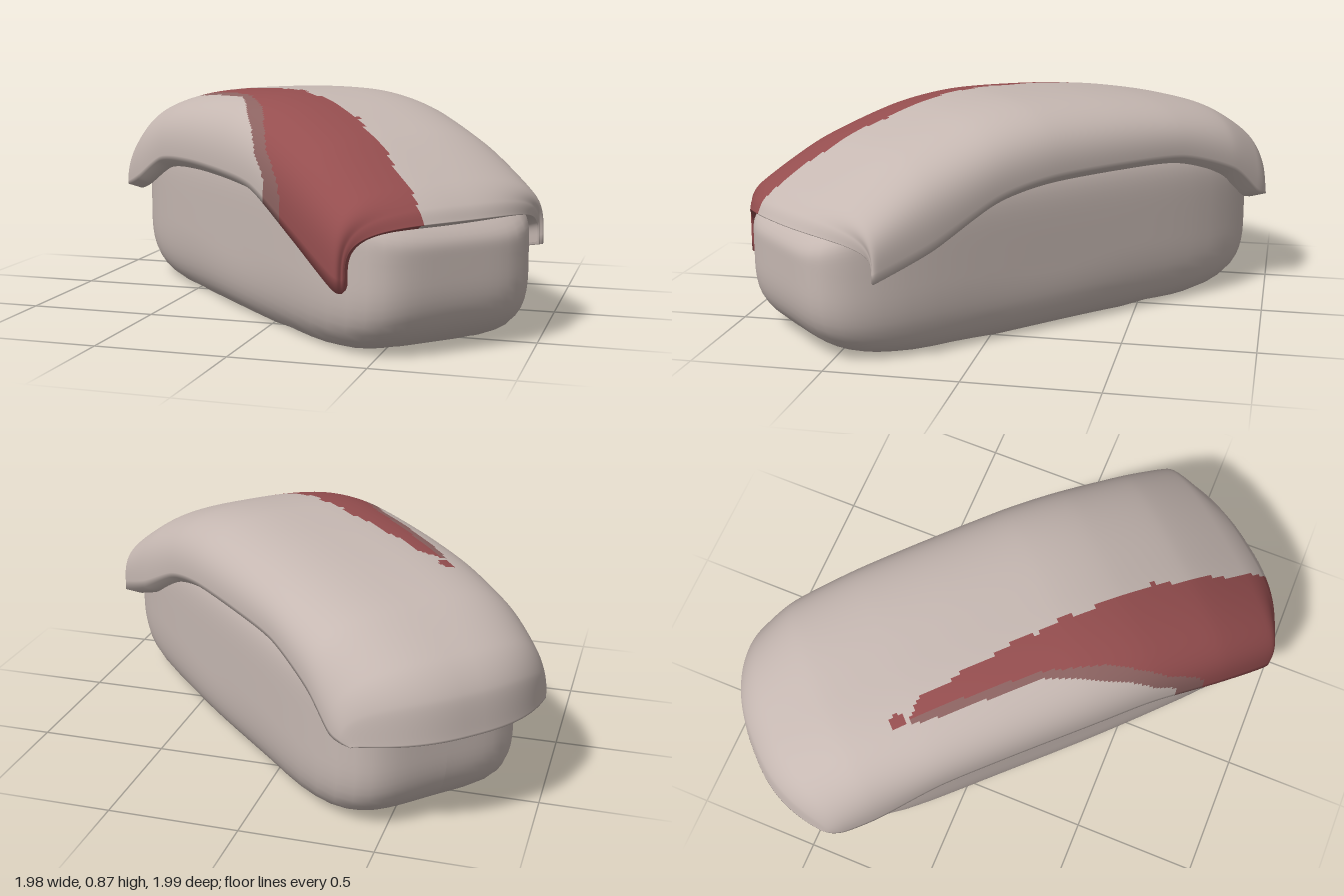
import * as THREE from 'three';

// Local frame: x runs along the length, z across; the whole thing is turned 45 degrees.

// Draped topping stations: [length position, crown height, half width]
const CROWN = [
  [-1.13, 0.40, 0.41], [-1.105, 0.55, 0.435], [-1.02, 0.655, 0.45], [-0.8, 0.77, 0.46],
  [-0.5, 0.83, 0.46], [-0.2, 0.86, 0.465], [0.15, 0.87, 0.47], [0.4, 0.835, 0.47],
  [0.7, 0.735, 0.475], [0.95, 0.595, 0.465], [1.04, 0.525, 0.44], [1.07, 0.475, 0.43],
];
// Hem at the same stations: [+z edge height, -z edge height, shift of the edges along x]
const HEM = [
  [0.39, 0.39, 0.14], [0.39, 0.40, 0.15], [0.39, 0.42, 0.12], [0.43, 0.53, 0.04],
  [0.54, 0.61, 0], [0.565, 0.62, 0], [0.56, 0.61, 0], [0.53, 0.56, 0],
  [0.40, 0.42, 0], [0.27, 0.34, -0.02], [0.25, 0.33, -0.09], [0.27, 0.34, -0.12],
];
const curve = (rows) => new THREE.CatmullRomCurve3(
  rows.map((r) => new THREE.Vector3(...r)), false, 'catmullrom', 0.4);

// Piecewise linear lookup
function lookup(table, x) {
  for (let i = 1; i < table.length; i++) {
    const [x0, y0] = table[i - 1], [x1, y1] = table[i];
    if (x <= x1) return y0 + (y1 - y0) * Math.max(0, (x - x0) / (x1 - x0));
  }
  return table[table.length - 1][1];
}

// Stripe limits across the width, by length position
const STRIPE_TOP = [[-0.52, 0.24], [-0.45, 0.19], [-0.11, 0.14], [0.2, 0.12], [0.55, 0.1], [1.0, 0.14]];
const STRIPE_LOW = [[-0.52, 0.25], [-0.4, 0.25], [0, 0.275], [0.23, 0.335], [0.47, 0.435], [0.62, 0.46], [0.68, 0.6]];
const BORDER_LOW = [[-0.52, 0.27], [-0.4, 0.285], [0, 0.305], [0.19, 0.375], [0.41, 0.453], [0.5, 0.462], [0.54, 0.6]];

// 0 = plain, 1 = stripe, 2 = soft border of the stripe
function paint(u, v) {
  if (u < -0.52) return Math.hypot(u + 0.57, (v - 0.235) * 1.3) < 0.035 ? 1 : 0;
  const wobble = 0.006 * Math.sin(u * 31);
  if (v < lookup(STRIPE_TOP, u) + wobble || v > lookup(BORDER_LOW, u)) return 0;
  return v > lookup(STRIPE_LOW, u) ? 2 : 1;
}

function toppingGeometry() {
  const N = 180, M = 120, ring = 2 * M + 2;
  const crown = curve(CROWN), hem = curve(HEM);
  const pos = [];
  for (let i = 0; i <= N; i++) {
    const c = crown.getPoint(i / N), h = hem.getPoint(i / N);
    const front = Math.max(0, c.x) ** 2;
    const outer = [];
    for (let j = 0; j <= M; j++) {
      const a = (Math.PI * j) / M, co = Math.cos(a), si = Math.max(0, Math.sin(a));
      const side = Math.sign(co) * Math.abs(co) ** 0.64;
      const edge = THREE.MathUtils.lerp(h.y, h.x, (side + 1) / 2);
      // the front end is slightly skewed and squarer in section
      outer.push([c.x + h.z * Math.abs(side) ** 2.5 + 0.035 * front * side,
        edge + (c.y - edge) * si ** (0.75 - 0.25 * front),
        c.z * side - 0.025 * front]);
    }
    // outer skin across, then the inner skin back again
    outer.forEach((p) => pos.push(...p));
    for (let j = M; j >= 0; j--) {
      const [x, y, z] = outer[j];
      pos.push(x * 0.95, 0.2 + (y - 0.2) * 0.92, z * 0.9);
    }
  }
  const lists = [[], [], []];
  const quad = (a, b, c, d, inner) => {
    const mid = (k) => (pos[a * 3 + k] + pos[b * 3 + k] + pos[c * 3 + k] + pos[d * 3 + k]) / 4;
    lists[inner ? 0 : paint(mid(0), mid(2))].push(a, b, c, a, c, d);
  };
  for (let i = 0; i < N; i++) {
    for (let j = 0; j < ring; j++) {
      const k = (j + 1) % ring, a = i * ring, b = a + ring;
      quad(a + j, b + j, b + k, a + k, j > M && j < ring - 1);
    }
  }
  // rims at both ends
  for (let j = 0; j < M; j++) {
    const e = N * ring, p = ring - 1 - j, q = p - 1;
    quad(e + j, e + p, e + q, e + j + 1, false);
    quad(j, j + 1, q, p, false);
  }
  const g = new THREE.BufferGeometry();
  g.setAttribute('position', new THREE.Float32BufferAttribute(pos, 3));
  g.setIndex(lists.flat());
  let start = 0;
  lists.forEach((l, m) => { g.addGroup(start, l.length, m); start += l.length; });
  g.computeVertexNormals();
  return g;
}

// Soft block: a sphere pushed out to a rounded box, sloping down in front, drawn in at the foot
function blockGeometry() {
  const g = new THREE.SphereGeometry(1, 72, 48);
  const p = g.attributes.position, v = new THREE.Vector3();
  for (let i = 0; i < p.count; i++) {
    v.fromBufferAttribute(p, i);
    const n = (Math.abs(v.x) ** 5 + Math.abs(v.y) ** 5 + Math.abs(v.z) ** 5) ** 0.2;
    v.divideScalar(n);
    const foot = Math.max(0, -v.y - 0.2) / 0.8;
    const taper = 1 - 0.06 * foot * foot;
    const lump = 1 + 0.012 * foot * Math.sin(v.x * 7 + 1);
    const height = v.y > 0 ? 0.36 * (1 - 0.12 * v.x * v.x - 0.5 * Math.max(0, v.x) ** 4) : 0.375;
    p.setXYZ(i,
      0.04 + 1.03 * v.x * taper,
      Math.max(0.004, 0.34 + v.y * height),
      -0.015 + 0.43 * v.z * taper * lump);
  }
  g.computeVertexNormals();
  return g;
}

export function createModel() {
  const mat = (name, color) => {
    const m = new THREE.MeshStandardMaterial({ color });
    m.name = name;
    return m;
  };
  const pale = mat('pale', 0xc6b8b2);
  const red = mat('red', 0x954e4f);
  const softRed = mat('softRed', 0x8c6361);

  const model = new THREE.Group();
  model.name = 'drapedBlock';
  const body = new THREE.Group();
  body.name = 'body';
  body.rotation.y = -Math.PI / 4;
  model.add(body);

  const block = new THREE.Mesh(blockGeometry(), pale);
  block.name = 'riceBlock';
  const topping = new THREE.Mesh(toppingGeometry(), [pale, red, softRed]);
  topping.name = 'topping';
  body.add(block, topping);
  return model;
}
